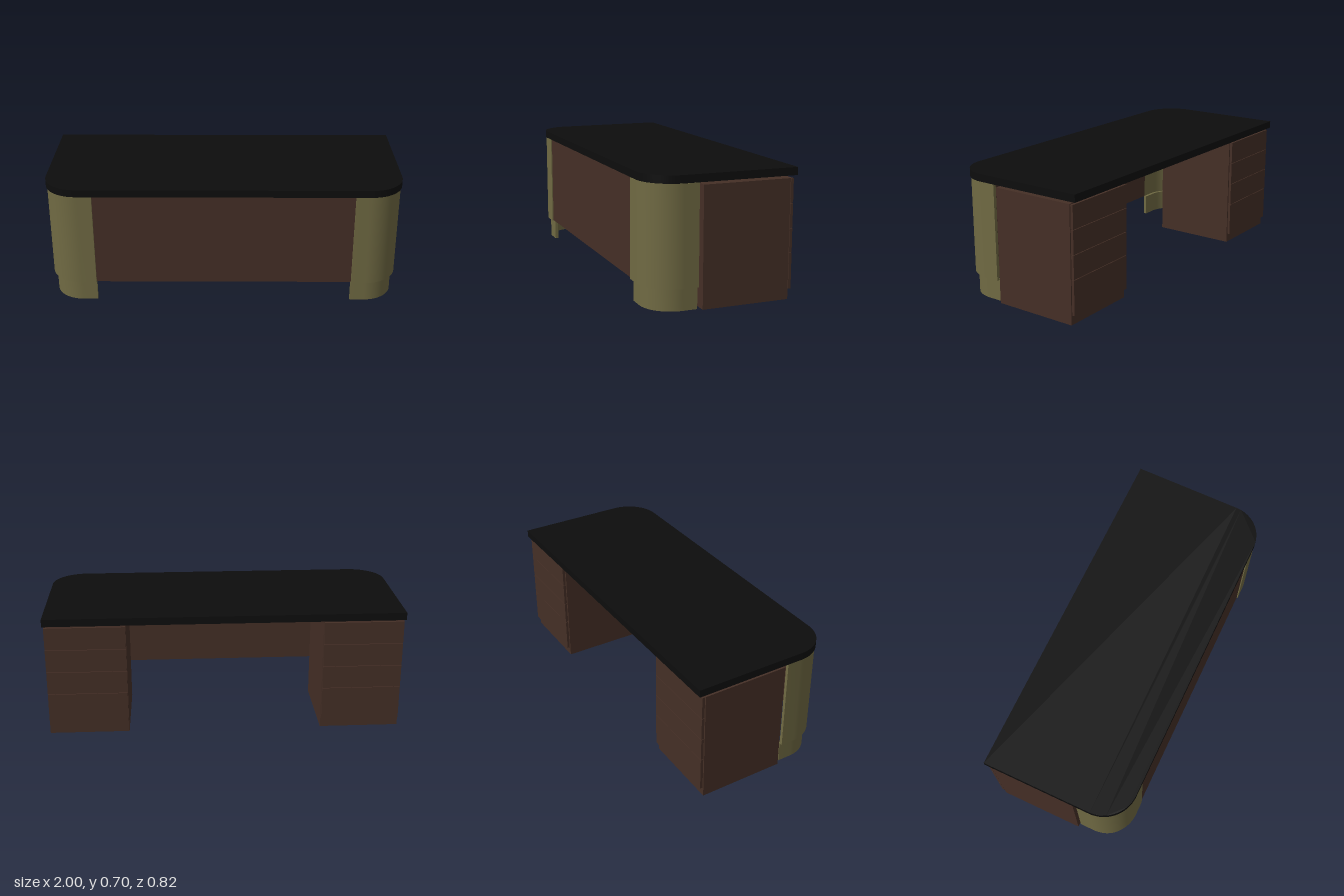
import * as THREE from 'three';
import { toCreasedNormals } from 'three/addons/utils/BufferGeometryUtils.js';

const material = (name, color) => {
  const m = new THREE.MeshStandardMaterial({ color });
  m.name = name;
  return m;
};

export function createModel() {
  const black = material('black top', 0x0d0d0d);
  const wood = material('dark brown wood', 0x452f26);
  const olive = material('olive', 0x706a43);
  const desk = new THREE.Group();
  desk.name = 'desk';

  const add = (name, geometry, mat, parent = desk) => {
    const mesh = new THREE.Mesh(geometry, mat);
    mesh.name = name;
    parent.add(mesh);
  };
  // box given by its limits on each axis
  const box = (name, [x0, x1], [y0, y1], [z0, z1], mat, parent) => {
    const g = new THREE.BoxGeometry(Math.abs(x1 - x0), y1 - y0, z1 - z0);
    g.translate((x0 + x1) / 2, (y0 + y1) / 2, (z0 + z1) / 2);
    add(name, g, mat, parent);
  };
  // plan outline (x, z) raised from y0 to y1
  const raise = (shape, y0, y1) => {
    const g = new THREE.ExtrudeGeometry(shape, { depth: y1 - y0, bevelEnabled: false, curveSegments: 20 });
    g.rotateX(Math.PI / 2).translate(0, y1, 0);
    return toCreasedNormals(g, 0.5);
  };

  // worktop with two rounded front corners
  const R = 0.19;
  const top = new THREE.Shape();
  top.moveTo(-1, -0.408);
  top.lineTo(1, -0.408);
  top.lineTo(1, 0.408 - R);
  top.absarc(1 - R, 0.408 - R, R, 0, Math.PI / 2, false);
  top.lineTo(-1 + R, 0.408);
  top.absarc(-1 + R, 0.408 - R, R, Math.PI / 2, Math.PI, false);
  top.closePath();
  add('worktop', raise(top, 0.658, 0.7), black);

  // thin wall that wraps round a front corner
  const cornerWall = (s, inset, thickness) => {
    const cx = 0.805, cz = 0.218, outer = 0.188 - inset, inner = outer - thickness;
    const pts = [];
    const arc = (r, from, to) => {
      for (let i = 0; i <= 20; i++) {
        const a = (from + (to - from) * i / 20) * Math.PI / 2;
        pts.push(new THREE.Vector2(s * (cx + r * Math.cos(a)), cz + r * Math.sin(a)));
      }
    };
    const end = (x, z) => pts.push(new THREE.Vector2(s * x, z));
    end(cx + outer, 0.138);
    arc(outer, 0, 1);
    end(0.725, cz + outer);
    end(0.725, cz + inner);
    arc(inner, 1, 0);
    end(cx + inner, 0.138);
    return new THREE.Shape(pts);
  };

  for (const s of [1, -1]) {
    const side = s > 0 ? 'left' : 'right';
    // curved corner cladding and its recessed plinth
    add(side + 'CornerPanel', raise(cornerWall(s, 0, 0.018), 0.12, 0.656), olive);
    add(side + 'CornerPlinth', raise(cornerWall(s, 0.018, 0.018), 0, 0.122), olive);

    // drawer pedestal
    const pedestal = new THREE.Group();
    pedestal.name = side + 'Pedestal';
    desk.add(pedestal);
    box('cabinet', [s * 0.548, s * 0.996], [0, 0.644], [-0.37, 0.117], wood, pedestal);
    box('topSpacer', [s * 0.62, s * 0.92], [0.644, 0.658], [-0.28, 0.028], wood, pedestal);
    const edges = [0.055, 0.25, 0.382, 0.514, 0.645];
    for (let i = 0; i < 4; i++) {
      box('drawerFront', [s * 0.55, s * 0.994], [edges[i], edges[i + 1] - 0.003], [-0.389, -0.374], wood, pedestal);
    }
    // slide rail joining the drawer fronts to the cabinet
    box('drawerBacking', [s * 0.6, s * 0.945], [0.08, 0.62], [-0.375, -0.369], wood, pedestal);
  }

  // front modesty panel
  box('modestyPanel', [-0.724, 0.724], [0.124, 0.658], [0.382, 0.4], wood);
  return desk;
}
